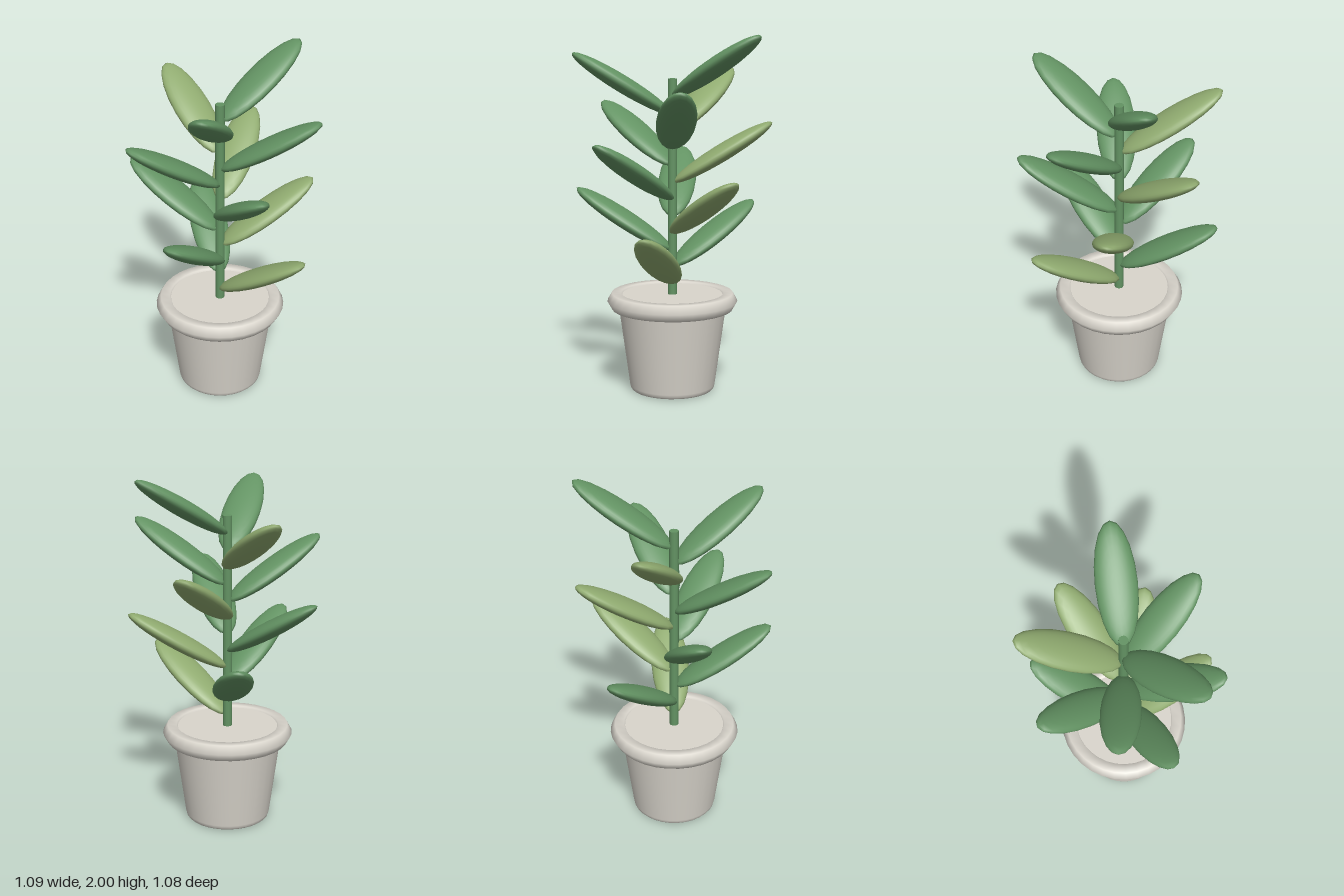
import * as THREE from 'three';

export function createModel() {
  const model = new THREE.Group();
  model.name = 'pottedPlant';

  const material = (name, color) => {
    const m = new THREE.MeshStandardMaterial({ color });
    m.name = name;
    return m;
  };
  const green = material('leaf green', 0x639363);
  const paleGreen = material('pale leaf green', 0x90ab70);
  const clay = material('pale clay', 0xd9d5cc);

  const plant = new THREE.Group();
  plant.name = 'plant';
  plant.position.set(-0.003, 0, -0.006);
  model.add(plant);

  const add = (name, geometry, mat, y = 0) => {
    const mesh = new THREE.Mesh(geometry, mat);
    mesh.name = name;
    mesh.position.y = y;
    plant.add(mesh);
    return mesh;
  };

  // Tapered pot with a softened foot
  const profile = [
    [0, 0], [0.215, 0], [0.228, 0.004], [0.237, 0.014], [0.241, 0.03], [0.305, 0.5],
  ].map(([r, y]) => new THREE.Vector2(r, y));
  add('pot', new THREE.LatheGeometry(profile, 32), clay);

  // Rolled rim
  const rim = new THREE.TorusGeometry(0.315, 0.052, 6, 32).rotateX(-Math.PI / 2);
  add('rim', rim, clay, 0.515);

  // Flat fill inside the rim
  add('potFill', new THREE.CylinderGeometry(0.286, 0.286, 0.05, 32), clay, 0.525);

  // Stem
  add('stem', new THREE.CylinderGeometry(0.026, 0.026, 1.22, 12), green, 1.15);

  // Leaves spiral up the stem by the golden angle, every third one pale
  const leafGeometry = new THREE.SphereGeometry(1, 20, 14).scale(0.32, 0.048, 0.109);
  const tilt = 0.55, reach = 0.278;
  for (let i = 0; i < 12; i++) {
    const a = THREE.MathUtils.degToRad(137.5 * i);
    const leaf = add(`leaf${i + 1}`, leafGeometry, i % 3 ? green : paleGreen);
    leaf.position.set(Math.cos(a) * reach, 0.783 + i * 0.095, -Math.sin(a) * reach);
    leaf.rotation.set(0, a, tilt, 'YXZ');
  }

  return model;
}
